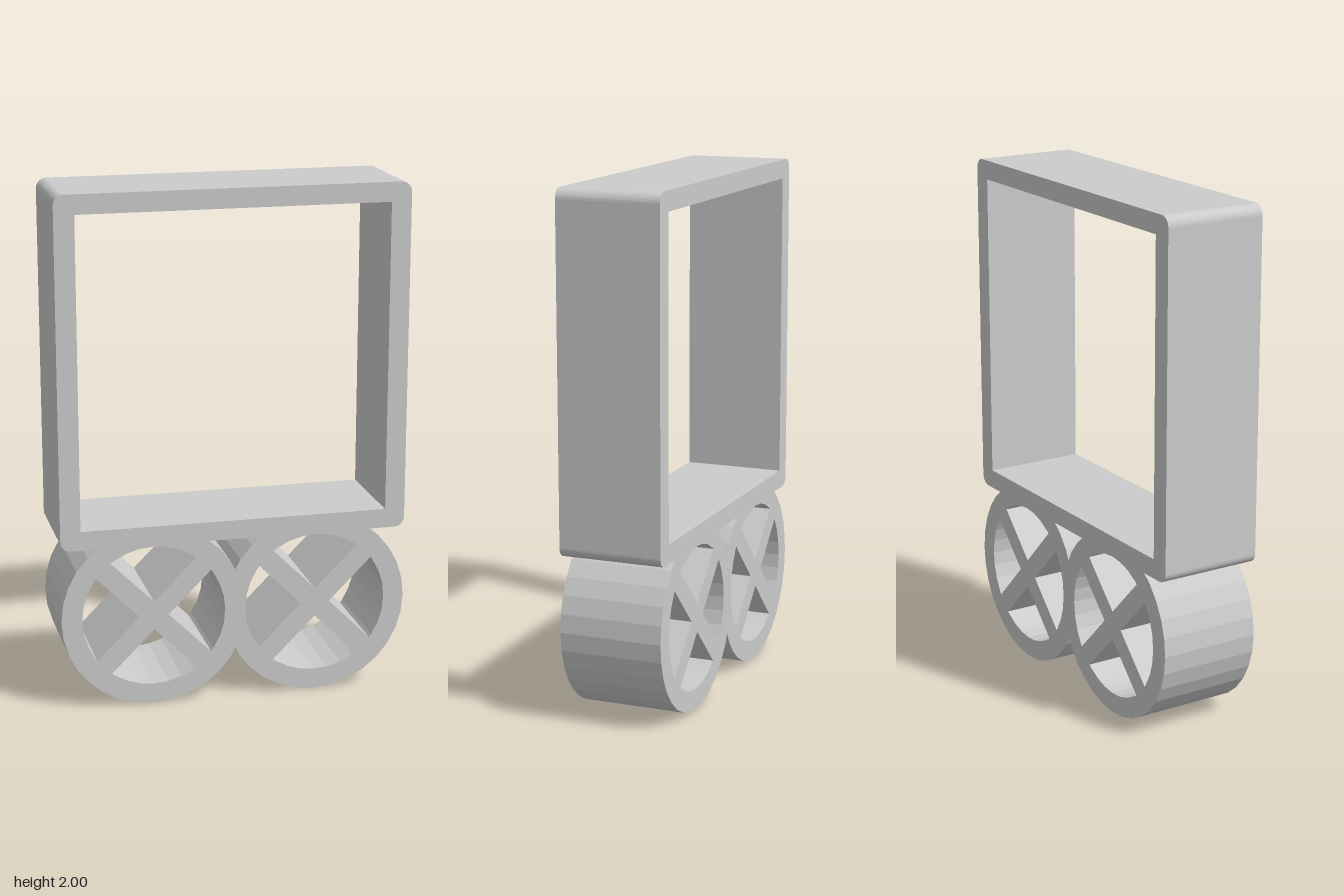
import * as THREE from 'three';

const DEPTH = 0.4;
const RIM = 0.36, INNER = 0.28, SPOKE_HALF = 0.04;
const WHEEL_X = 0.32, WHEEL_Y = 0.36;

const polar = (r, a) => new THREE.Vector2(r * Math.cos(a), r * Math.sin(a));

function extrude(shape, material, name) {
  const geometry = new THREE.ExtrudeGeometry(shape, { depth: DEPTH, bevelEnabled: false, curveSegments: 4 });
  geometry.translate(0, 0, -DEPTH / 2);
  const mesh = new THREE.Mesh(geometry, material);
  mesh.name = name;
  return mesh;
}

// Square frame with small rounded outer corners and a sharp opening
function frameShape() {
  const x = 0.678, y0 = 0.645, y1 = 2, r = 0.04;
  const shape = new THREE.Shape();
  shape.absarc(x - r, y0 + r, r, -Math.PI / 2, 0);
  shape.absarc(x - r, y1 - r, r, 0, Math.PI / 2);
  shape.absarc(-x + r, y1 - r, r, Math.PI / 2, Math.PI);
  shape.absarc(-x + r, y0 + r, r, Math.PI, Math.PI * 1.5);
  shape.closePath();
  const opening = [[-0.6, 0.72], [-0.6, 1.925], [0.6, 1.925], [0.6, 0.72]];
  shape.holes.push(new THREE.Path(opening.map(([px, py]) => new THREE.Vector2(px, py))));
  return shape;
}

// Round wheel with four quadrant openings, leaving a diagonal cross of spokes
function wheelShape() {
  const step = Math.PI / 16;
  const shape = new THREE.Shape(Array.from({ length: 32 }, (_, i) => polar(RIM, i * step)));
  const half = Math.PI / 4 - Math.asin(SPOKE_HALF / INNER);
  for (let q = 0; q < 4; q++) {
    const mid = q * Math.PI / 2;
    const points = [polar(SPOKE_HALF * Math.SQRT2, mid), polar(INNER, mid - half)];
    for (let i = -3; i <= 3; i++) points.push(polar(INNER, mid + i * step));
    points.push(polar(INNER, mid + half));
    shape.holes.push(new THREE.Path(points));
  }
  return shape;
}

export function createModel() {
  const grey = new THREE.MeshStandardMaterial({ color: 0xcccccc });
  grey.name = 'light grey';

  const group = new THREE.Group();
  group.name = 'wheeledFrame';
  group.add(extrude(frameShape(), grey, 'frame'));

  for (const side of [-1, 1]) {
    const wheel = extrude(wheelShape(), grey, side < 0 ? 'rightWheel' : 'leftWheel');
    wheel.position.set(side * WHEEL_X, WHEEL_Y, 0);
    group.add(wheel);
  }
  return group;
}
